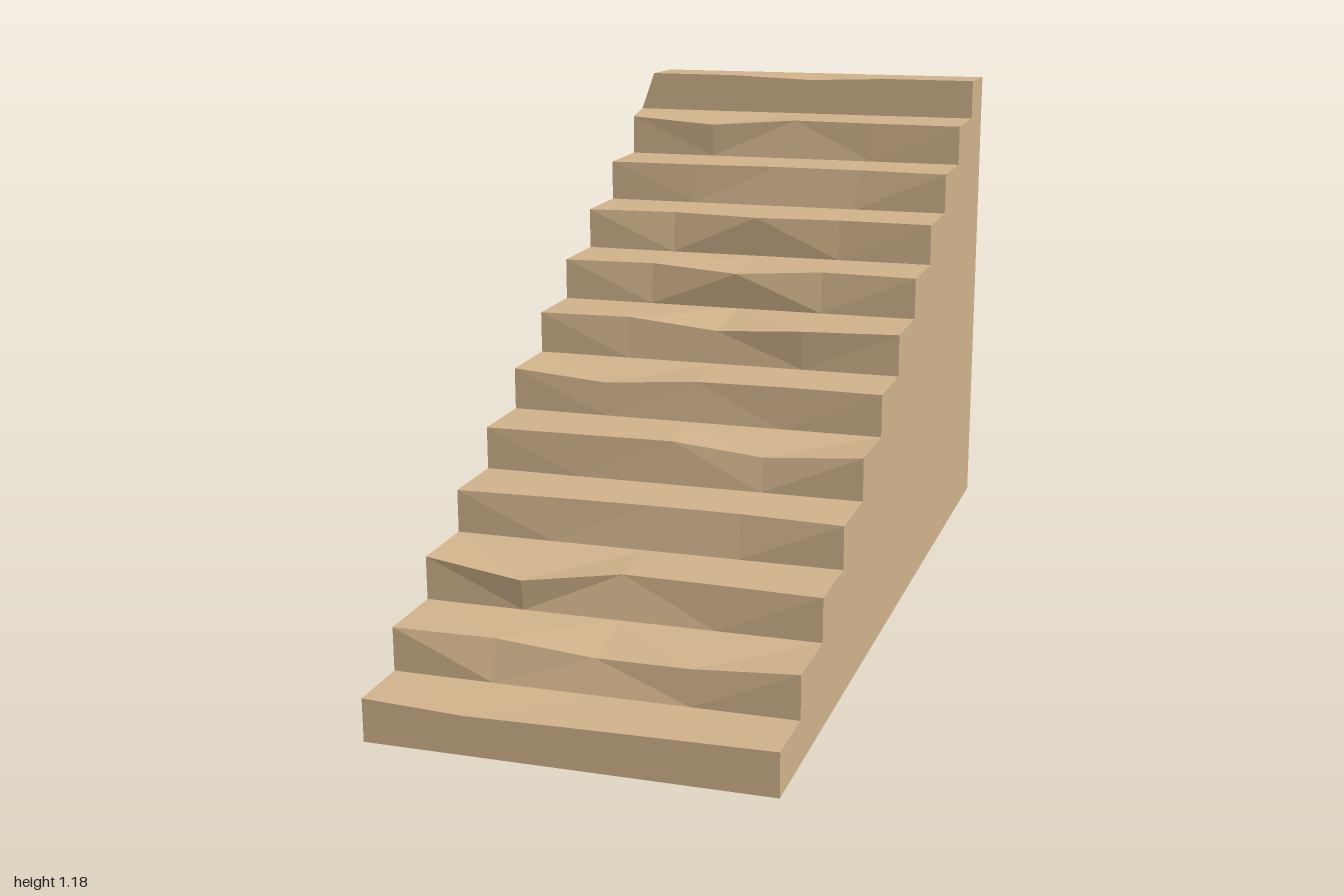
import * as THREE from 'three';

const STEPS = 12;
const LEFT = 0.46, RIGHT = -0.425;                // the two wall planes
const COLS = [RIGHT, -0.2, 0.02, 0.23, LEFT];     // points along each step edge

// wear of each nosing at the three inner columns: drop in y, shift in z
const DROP = [
  [-0.01, -0.006, -0.003], [-0.008, -0.027, -0.02], [-0.028, -0.003, 0], [0, 0, 0],
  [0, 0, -0.022], [-0.02, -0.004, 0], [0, -0.02, -0.005], [0, -0.01, 0],
  [0, 0, 0], [0, 0, 0], [-0.015, 0, 0], [0, -0.008, 0],
];
const SHIFT = [
  [0, 0, 0], [-0.022, -0.023, -0.01], [0.01, -0.022, -0.01], [-0.01, -0.015, -0.015],
  [-0.005, -0.01, -0.015], [-0.005, -0.01, -0.005], [-0.01, -0.008, 0.006], [-0.012, 0.012, -0.012],
  [-0.015, 0.01, -0.005], [-0.005, -0.015, -0.015], [0.005, -0.015, -0.005], [0, 0, 0],
];

// the whole stair leans slightly towards its right
const lean = (x) => 0.012 * (x - LEFT) / (LEFT - RIGHT);
const riserZ = (i) => (i === 0 ? 1 : i === STEPS ? -1 : 0.85 - 0.1705 * (i - 1));
const treadY = (i) => 0.129 + 0.0954 * i;
const bottom = (x, z) => [x, (0.032 + lean(x)) * (z + 1) / 2 + (x > 0 ? 0.003 : 0) * (1 - z) / 2, z];

// front edge of step i
function nosing(i) {
  return COLS.map((x, c) => {
    const inner = c > 0 && c < 4;
    return [x, treadY(i) + lean(x) + (inner ? DROP[i][c - 1] : 0),
      riserZ(i) + (inner ? SHIFT[i][c - 1] : 0)];
  });
}

// back edge of step i; one corner near the top is pushed out sideways
function heel(i) {
  return COLS.map((x, c) => [
    i === STEPS - 2 && c === 0 ? -0.46 : x,
    treadY(i) + lean(x) - (i === STEPS - 1 ? 0.007 : 0.003), riserZ(i + 1)]);
}

function strip(lower, upper) {
  const tris = [];
  for (let c = 0; c < lower.length - 1; c++) {
    const [a, b, d, e] = [lower[c], lower[c + 1], upper[c + 1], upper[c]];
    if (c % 2) tris.push(a, b, d, a, d, e);
    else tris.push(a, b, e, b, d, e);
  }
  return tris;
}

// side wall: a slice under each step, then a fan from the back foot
function wall(c) {
  const x = COLS[c], tris = [];
  for (let i = 0; i < STEPS - 2; i++) {
    const n = nosing(i)[c], h = heel(i)[c];
    const f = bottom(x, riserZ(i)), b = bottom(x, riserZ(i + 1));
    tris.push(f, b, h, f, h, n);
  }
  const last = STEPS - 1, foot = bottom(x, -1);
  const corner = heel(last - 1)[c], top = heel(last)[c];
  tris.push(bottom(x, riserZ(last - 1)), foot, nosing(last - 1)[c]);
  tris.push(foot, corner, nosing(last - 1)[c]);
  tris.push(foot, top, corner);
  tris.push(corner, top, nosing(last)[c]);
  if (x < 0) {
    for (let k = 0; k < tris.length; k += 3) [tris[k + 1], tris[k + 2]] = [tris[k + 2], tris[k + 1]];
  }
  return tris;
}

export function createModel() {
  const model = new THREE.Group();
  model.name = 'staircase';
  const material = new THREE.MeshStandardMaterial({
    color: 0xd2b48c, flatShading: true, side: THREE.DoubleSide,
  });

  const add = (name, tris) => {
    const geometry = new THREE.BufferGeometry();
    geometry.setAttribute('position', new THREE.Float32BufferAttribute(tris.flat(), 3));
    geometry.computeVertexNormals();
    const mesh = new THREE.Mesh(geometry, material);
    mesh.name = name;
    model.add(mesh);
  };

  // worn risers and treads
  for (let i = 0; i < STEPS; i++) {
    const base = i === 0
      ? COLS.map((x) => [x, 0.032 + lean(x), 1])
      : heel(i - 1);
    add(`riser${i + 1}`, strip(base, nosing(i)));
    add(`tread${i + 1}`, strip(nosing(i), heel(i)));
  }

  // thin side walls; back and underside stay open
  add('rightWall', wall(0));
  add('leftWall', wall(4));
  return model;
}
